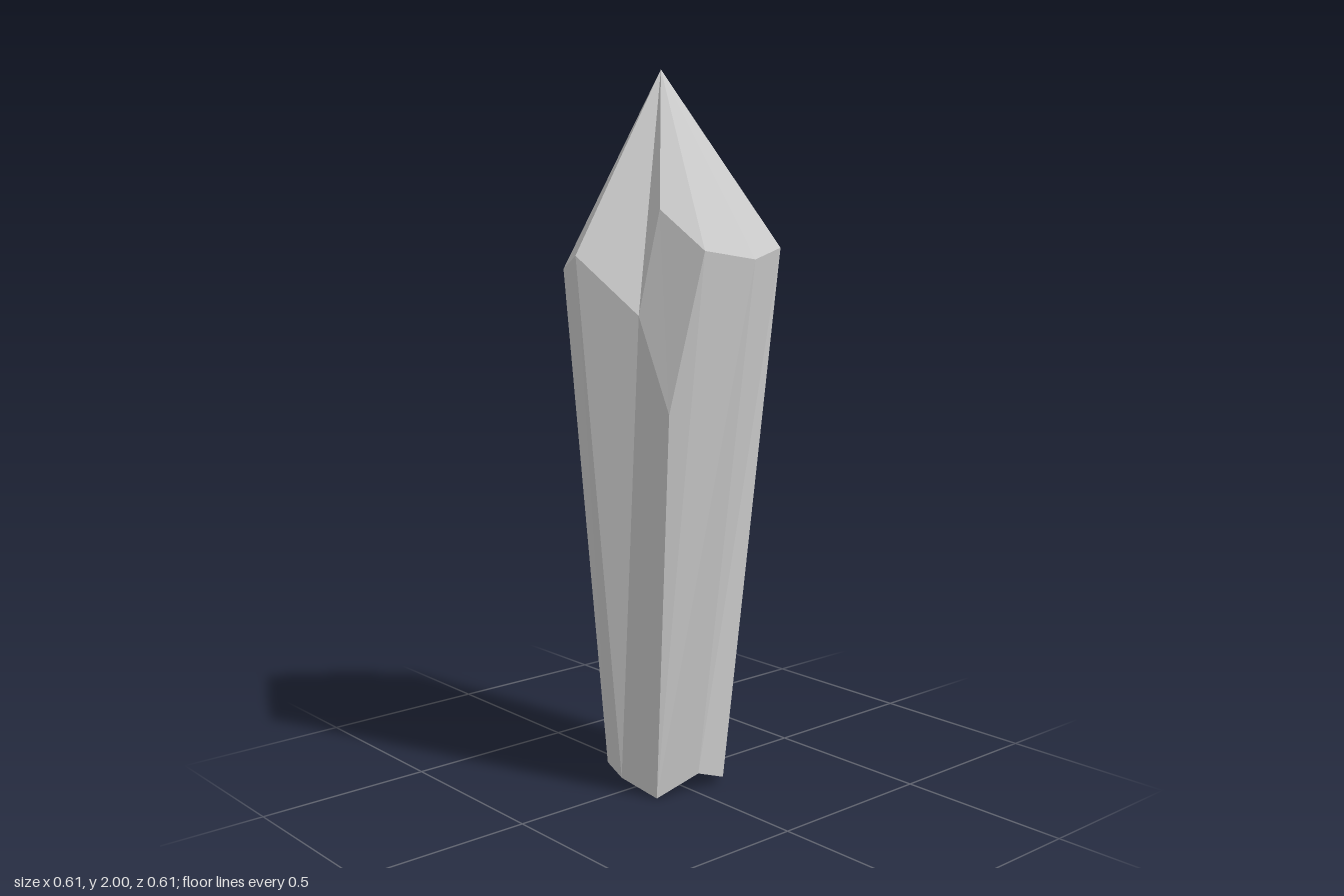
import * as THREE from 'three';

// Crystal corners: capitals form the shoulder and tip, lower case the base rim
const corners = {
  P: [0, 2, 0.008], // tip
  Q: [0.17, 1.63, 0.16], R: [-0.155, 1.765, -0.037], S: [0.013, 1.565, -0.273],
  A: [0.002, 1.51, 0.305], B: [0.13, 1.355, 0.198], C: [0.215, 1.1, 0.167], D: [0.285, 1.525, 0.107],
  E: [0.302, 1.5, -0.057], F: [0.215, 1.525, -0.238], G: [0.092, 1.52, -0.26], H: [0.015, 1.19, -0.308],
  I: [-0.08, 1.5, -0.3], J: [-0.19, 1.43, -0.236], K: [-0.277, 1.455, -0.146], L: [-0.303, 1.31, -0.06],
  M: [-0.283, 1.42, 0.092], N: [-0.22, 1.465, 0.175],
  a: [0, 0.045, 0.155], c: [0.105, 0.005, 0.115], e: [0.15, 0.062, 0], f: [0.145, 0.025, -0.1],
  h: [-0.035, 0.01, -0.21], j: [-0.118, 0.055, -0.14], l: [-0.208, 0.033, -0.06], n: [-0.13, 0.04, 0.1],
  o: [0, 0.04, 0], // middle of the base
};

// Each facet is a convex loop of corners, counter-clockwise from outside
const parts = {
  tip: ['PABQ', 'PQDE', 'PEF', 'PFGS', 'PSIJ', 'PJKR', 'PRN', 'PNA'],
  chippedFacets: ['QBCD', 'SGHI', 'RKLM', 'RMN'],
  shaft: ['acCBA', 'ceEDC', 'efFE', 'fhHGF', 'hjJIH', 'jlLKJ', 'lnNML', 'naAN'],
  base: ['oca', 'oec', 'ofe', 'ohf', 'ojh', 'olj', 'onl', 'oan'],
};

function facetGeometry(facets) {
  const positions = [];
  for (const loop of facets)
    for (let i = 1; i < loop.length - 1; i++)
      for (const key of [loop[0], loop[i], loop[i + 1]]) positions.push(...corners[key]);
  const geometry = new THREE.BufferGeometry();
  geometry.setAttribute('position', new THREE.Float32BufferAttribute(positions, 3));
  geometry.computeVertexNormals();
  return geometry;
}

export function createModel() {
  const crystal = new THREE.Group();
  crystal.name = 'crystal';
  const material = new THREE.MeshStandardMaterial({ color: 0xcccccc, flatShading: true });
  for (const [name, facets] of Object.entries(parts)) {
    const mesh = new THREE.Mesh(facetGeometry(facets), material);
    mesh.name = name;
    crystal.add(mesh);
  }
  return crystal;
}
